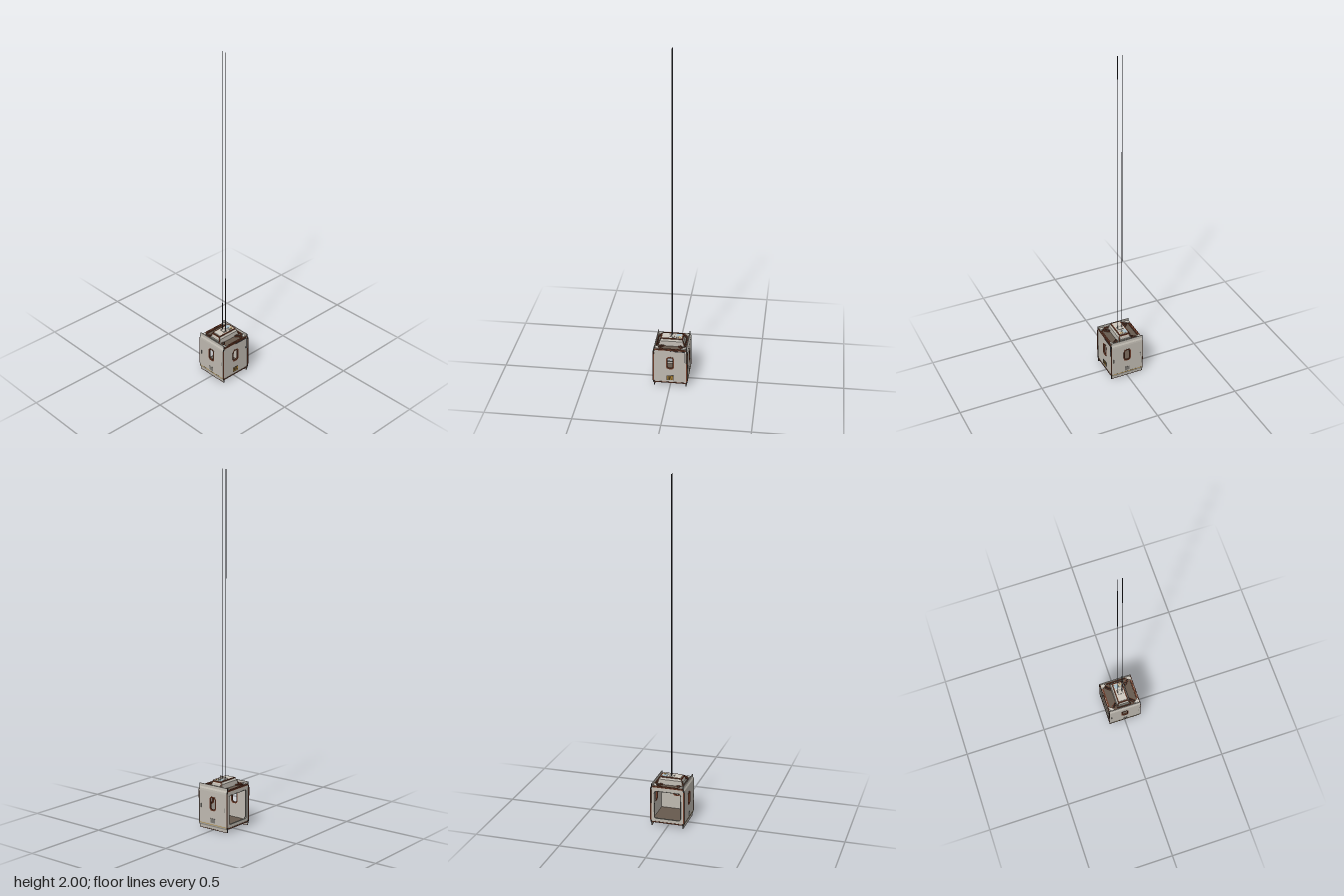
import * as THREE from 'three';

const M = {};
for (const [name, color] of Object.entries({
  panelGrey: 0xbfbab1, paleMetal: 0xcfcac0, trimBrown: 0x6c3c29, roofTaupe: 0x675a4e, darkMetal: 0x35302d,
  cableGrey: 0x47464c, signYellow: 0xae8433, signGrey: 0x7b7873, screenBlue: 0xa9c0ca, footGrey: 0x86847b,
})) {
  M[name] = new THREE.MeshStandardMaterial({ color });
  M[name].name = name;
}

function add(parent, name, geo, mat, x = 0, y = 0, z = 0) {
  const m = new THREE.Mesh(geo, M[mat]);
  m.name = name;
  m.position.set(x, y, z);
  parent.add(m);
  return m;
}
const box = (p, name, mat, w, h, d, x, y, z) => add(p, name, new THREE.BoxGeometry(w, h, d), mat, x, y, z);

// Rounded rectangle centred on (0, cy)
function rounded(w, h, r, cy, T = THREE.Shape) {
  const s = new T(), a = w / 2, b = cy - h / 2, t = cy + h / 2;
  s.moveTo(-a + r, b).lineTo(a - r, b).quadraticCurveTo(a, b, a, b + r);
  s.lineTo(a, t - r).quadraticCurveTo(a, t, a - r, t).lineTo(-a + r, t);
  s.quadraticCurveTo(-a, t, -a, t - r).lineTo(-a, b + r).quadraticCurveTo(-a, b, -a + r, b);
  return s;
}
const polygon = pts => new THREE.Shape(pts.map(p => new THREE.Vector2(...p)));
const extrude = (s, depth) => new THREE.ExtrudeGeometry(s, { depth, bevelEnabled: false, curveSegments: 5 });

// Flat wall with a framed opening, facing local +z
function wall(car, name, w, y0, y1, [ow, oh, r, cy, rim, rimMat], dist, turn) {
  const g = new THREE.Group();
  g.name = name;
  g.rotation.y = turn;
  const s = rounded(w, y1 - y0, 0.001, (y0 + y1) / 2);
  s.holes.push(rounded(ow, oh, r, cy, THREE.Path));
  add(g, 'panel', extrude(s, 0.007), 'panelGrey', 0, 0, dist - 0.007);
  const f = rounded(ow + rim, oh + rim, r + rim / 2, cy);
  f.holes.push(rounded(ow - 0.001, oh - 0.001, r, cy, THREE.Path));
  add(g, 'openingFrame', extrude(f, 0.0086), rimMat, 0, 0, dist - 0.0078);
  car.add(g);
  return g;
}

// Rectangular frustum between two levels
function frustum(x0, z0, x1, z1, h) {
  const g = new THREE.BoxGeometry(2, h, 2).toNonIndexed(), p = g.attributes.position;
  for (let i = 0; i < p.count; i++) {
    const top = p.getY(i) > 0;
    p.setX(i, p.getX(i) * (top ? x1 : x0));
    p.setZ(i, p.getZ(i) * (top ? z1 : z0));
  }
  g.computeVertexNormals();
  return g;
}

// Square bar between two points
function bar(parent, name, mat, a, b, t) {
  const A = new THREE.Vector3(...a), B = new THREE.Vector3(...b);
  const m = add(parent, name, new THREE.BoxGeometry(t, t, A.distanceTo(B)), mat);
  m.position.copy(A).add(B).multiplyScalar(0.5);
  m.lookAt(B);
}

export function createModel() {
  const root = new THREE.Group();
  root.name = 'liftCar';
  const window_ = [0.032, 0.068, 0.012, 0.152, 0.014, 'trimBrown'];

  // Front wall with window and sign, back wall with doorway
  const front = wall(root, 'frontWall', 0.186, 0.026, 0.238, window_, 0.098, 0);
  box(front, 'signBack', 'darkMetal', 0.04, 0.03, 0.002, 0, 0.054, 0.0985);
  box(front, 'signPlate', 'signYellow', 0.035, 0.025, 0.002, 0, 0.054, 0.0992);
  for (const y of [0.047, 0.054, 0.061]) box(front, 'signBar', 'darkMetal', 0.028, 0.0025, 0.002, 0, y, 0.0998);
  wall(root, 'backWall', 0.186, 0.026, 0.238, [0.154, 0.166, 0.012, 0.128, 0.006, 'footGrey'], 0.098, Math.PI);

  // Side walls with flared lips above and below
  const lip = [[0.094, 0.22], [0.101, 0.22], [0.1, 0.231], [0.095, 0.24], [0.094, 0.256], [0.09, 0.256], [0.09, 0.238]];
  const lowLip = lip.map(([x, y]) => [x, 0.257 - y]);
  for (const side of [1, -1]) {
    const g = wall(root, side > 0 ? 'leftWall' : 'rightWall', 0.198, 0.037, 0.22, window_, 0.101, side * Math.PI / 2);
    box(g, 'signPlate', 'signGrey', 0.03, 0.025, 0.002, 0, 0.054, 0.1008);
    for (const z of [-0.085, 0.085]) box(g, 'latch', 'signGrey', 0.004, 0.024, 0.002, z, 0.13, 0.1008);
    const lips = new THREE.Group();
    lips.name = 'wallLips';
    lips.rotation.y = side > 0 ? 0 : Math.PI;
    for (const pts of [lip, lowLip]) {
      add(lips, 'lip', extrude(polygon(pts), 0.194), 'panelGrey', 0, 0, -0.097);
      for (const z of [-0.1, 0.097]) add(lips, 'lipEdge', extrude(polygon(pts), 0.003), 'darkMetal', 0, 0, z);
    }
    box(lips, 'lowerStripe', 'signYellow', 0.002, 0.003, 0.194, 0.1002, 0.031, 0);
    box(lips, 'bottomEdge', 'trimBrown', 0.005, 0.003, 0.194, 0.092, 0.0016, 0);
    for (const z of [-0.0993, 0.0993]) box(lips, 'cornerTrim', 'trimBrown', 0.008, 0.19, 0.003, 0.098, 0.128, z);
    root.add(lips);
  }

  // Roof, floor and their edge frames
  box(root, 'roof', 'roofTaupe', 0.184, 0.006, 0.186, 0, 0.23, 0);
  box(root, 'floor', 'roofTaupe', 0.184, 0.008, 0.186, 0, 0.028, 0);
  for (const y of [0.238, 0.023]) {
    for (const s of [1, -1]) {
      box(root, 'crossFrame', 'trimBrown', 0.178, 0.008, 0.008, 0, y, s * 0.09);
      box(root, 'edgeRail', 'trimBrown', 0.186, 0.006, 0.004, 0, y, s * 0.098);
      box(root, 'sideFrame', 'trimBrown', 0.005, 0.008, 0.178, s * 0.086, y, 0);
    }
  }

  // Corner plates, bolts and diagonal braces
  for (const sx of [1, -1]) for (const sz of [1, -1]) {
    const tri = polygon([[0.089, 0.094], [0.063, 0.094], [0.062, 0.088], [0.083, 0.063], [0.089, 0.064]]
      .map(([x, z]) => [x * sx, -z * sz]));
    const plate = add(root, 'cornerPlate', extrude(tri, 0.003), 'paleMetal', 0, 0.243, 0);
    plate.rotation.x = -Math.PI / 2;
    for (const [x, z] of [[0.083, 0.088], [0.068, 0.088], [0.083, 0.072]])
      add(root, 'bolt', new THREE.CylinderGeometry(0.0018, 0.0018, 0.002, 6), 'darkMetal', x * sx, 0.247, z * sz);
    for (const o of [-0.0045, 0.0045])
      bar(root, 'roofBrace', 'trimBrown', [sx * (0.078 + o), 0.237, sz * (0.078 - o)], [sx * (0.046 + o), 0.237, sz * (0.042 - o)], 0.005);
    bar(root, 'braceCore', 'darkMetal', [sx * 0.078, 0.236, sz * 0.078], [sx * 0.046, 0.236, sz * 0.042], 0.005);
    bar(root, 'floorBrace', 'darkMetal', [sx * 0.084, 0.021, sz * 0.084], [0, 0.021, 0], 0.01);
  }
  box(root, 'floorHub', 'footGrey', 0.03, 0.008, 0.03, 0, 0.019, 0);

  // Hoist housing with brown top edges and end feet
  const h = new THREE.Group();
  h.name = 'hoistHousing';
  root.add(h);
  add(h, 'housingBase', frustum(0.073, 0.042, 0.067, 0.04, 0.03), 'panelGrey', 0, 0.248, 0);
  add(h, 'housingCap', frustum(0.067, 0.04, 0.058, 0.028, 0.013), 'panelGrey', 0, 0.2695, 0);
  for (const s of [1, -1]) {
    box(h, 'foot', 'footGrey', 0.012, 0.012, 0.072, s * 0.073, 0.243, 0);
    box(h, 'footEdge', 'trimBrown', 0.004, 0.008, 0.086, s * 0.079, 0.238, 0);
    bar(h, 'topEdge', 'trimBrown', [-0.058, 0.2745, s * 0.0285], [0.058, 0.2745, s * 0.0285], 0.006);
    box(h, 'endEdge', 'trimBrown', 0.009, 0.007, 0.06, s * 0.0615, 0.2715, 0);
    for (const t of [1, -1])
      bar(h, 'slopeEdge', 'trimBrown', [s * 0.06, 0.273, t * 0.0285], [s * 0.078, 0.241, t * 0.041], 0.005);
  }
  box(h, 'topPanel', 'paleMetal', 0.114, 0.002, 0.051, 0, 0.2768, 0);

  // Cable anchor plate with bolts
  box(h, 'anchorRim', 'darkMetal', 0.032, 0.002, 0.035, 0, 0.2775, 0);
  box(h, 'anchorPlate', 'paleMetal', 0.029, 0.002, 0.032, 0, 0.2782, 0);
  for (const x of [-0.009, 0, 0.009]) for (const z of [-0.011, 0, 0.011])
    if (x || z) add(h, 'anchorBolt', new THREE.CylinderGeometry(0.002, 0.002, 0.002, 6), 'darkMetal', x, 0.2788, z);

  // Control panel: screen and rows of buttons
  box(h, 'screen', 'screenBlue', 0.028, 0.002, 0.023, 0.039, 0.2775, -0.012);
  for (let i = 0; i < 4; i++) for (let j = 0; j < 4; j++)
    box(h, 'button', i > 1 ? 'signYellow' : 'footGrey', 0.0045, 0.002, 0.003, 0.028 + i * 0.0072, 0.2775, 0.0035 + j * 0.0052);

  // Conduit on the front wall
  box(root, 'conduit', 'cableGrey', 0.003, 0.07, 0.003, 0.084, 0.197, 0.099);
  box(root, 'conduitTop', 'cableGrey', 0.084, 0.003, 0.003, 0.042, 0.231, 0.099);

  // Twin hoist cables
  for (const z of [-0.013, 0.013])
    add(root, 'cable', new THREE.CylinderGeometry(0.0018, 0.0018, 1.724, 8), 'cableGrey', 0, 1.138, z);

  return root;
}
